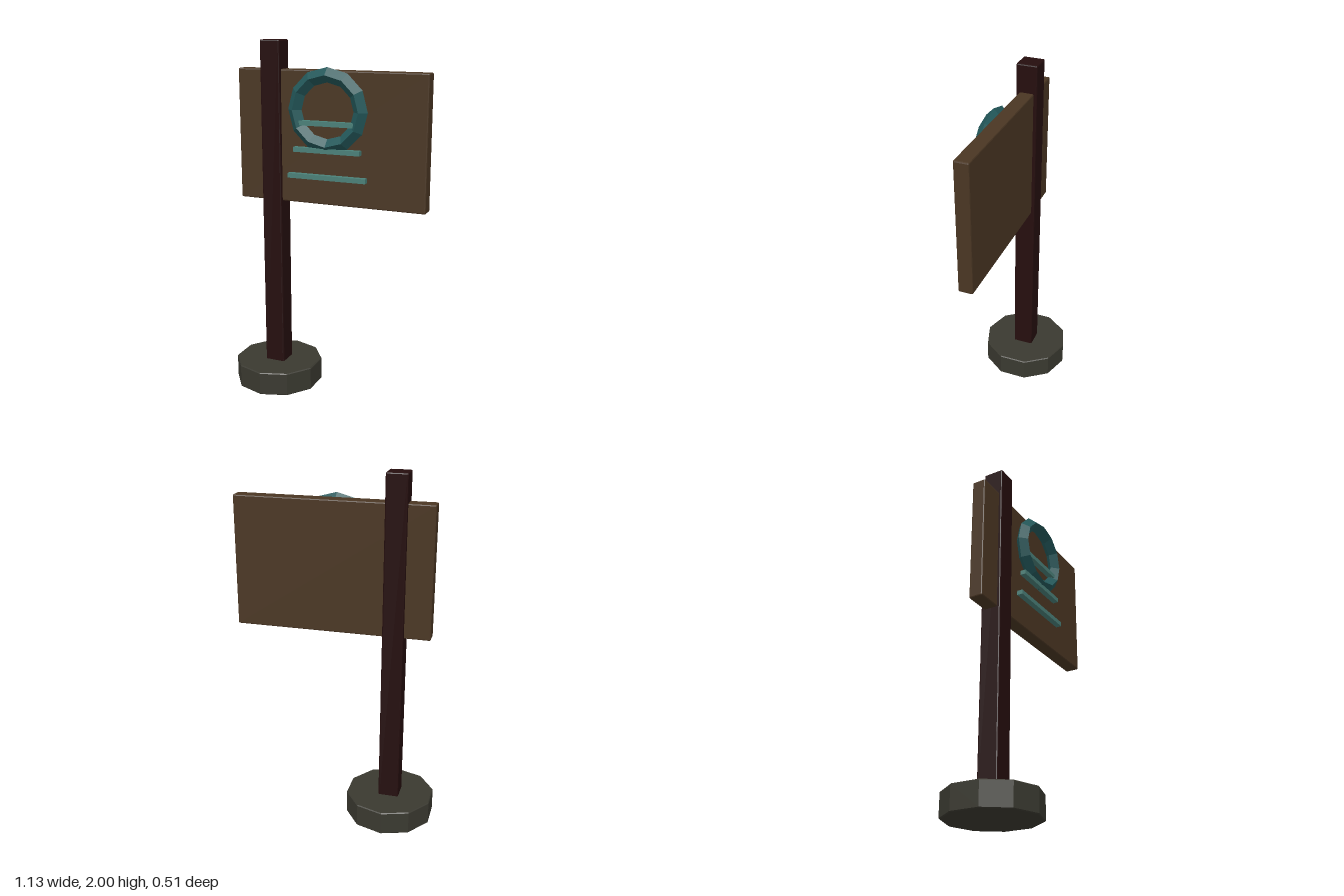
import * as THREE from 'three';
import { RoundedBoxGeometry } from 'three/addons/geometries/RoundedBoxGeometry.js';

const material = (name, color) => {
  const m = new THREE.MeshStandardMaterial({ color, flatShading: true });
  m.name = name;
  return m;
};

export function createModel() {
  const group = new THREE.Group();
  group.name = 'signpost';

  const stone = material('dark stone', 0x3a3930);
  const darkWood = material('dark post wood', 0x250e0e);
  const boardWood = material('brown board wood', 0x4a3623);
  const teal = material('deep teal', 0x23585a);
  const paleTeal = material('pale teal', 0x4a8078);

  const add = (name, geometry, mat, x, y, z = 0) => {
    const mesh = new THREE.Mesh(geometry, mat);
    mesh.name = name;
    mesh.position.set(x, y, z);
    group.add(mesh);
    return mesh;
  };

  const postX = -0.326;
  const signX = 0.018;

  // Ten-sided foot with a slight bevel at both rims
  const r = 0.255, h = 0.135, b = 0.005;
  const footProfile = [[0, 0], [r - b, 0], [r, b], [r, h - b], [r - b, h], [0, h]]
    .map(([x, y]) => new THREE.Vector2(x, y));
  add('base', new THREE.LatheGeometry(footProfile, 10), stone, postX, 0);

  // Square post and the board it passes through, both with chamfered edges
  add('post', new RoundedBoxGeometry(0.117, 1.88, 0.117, 1, 0.007), darkWood, postX, 1.06);
  add('board', new RoundedBoxGeometry(1.095, 0.73, 0.08, 1, 0.007), boardWood, signX, 1.48);

  // Faceted ring with a diamond section
  add('ring', new THREE.TorusGeometry(0.19, 0.04, 4, 12), teal, signX, 1.635, 0.068);

  // Three raised bars, widening downward
  [0.315, 0.385, 0.455].forEach((width, i) => {
    add(`bar${i + 1}`, new THREE.BoxGeometry(width, 0.026, 0.033), paleTeal,
      signX, 1.567 - i * 0.146, 0.076);
  });

  return group;
}
